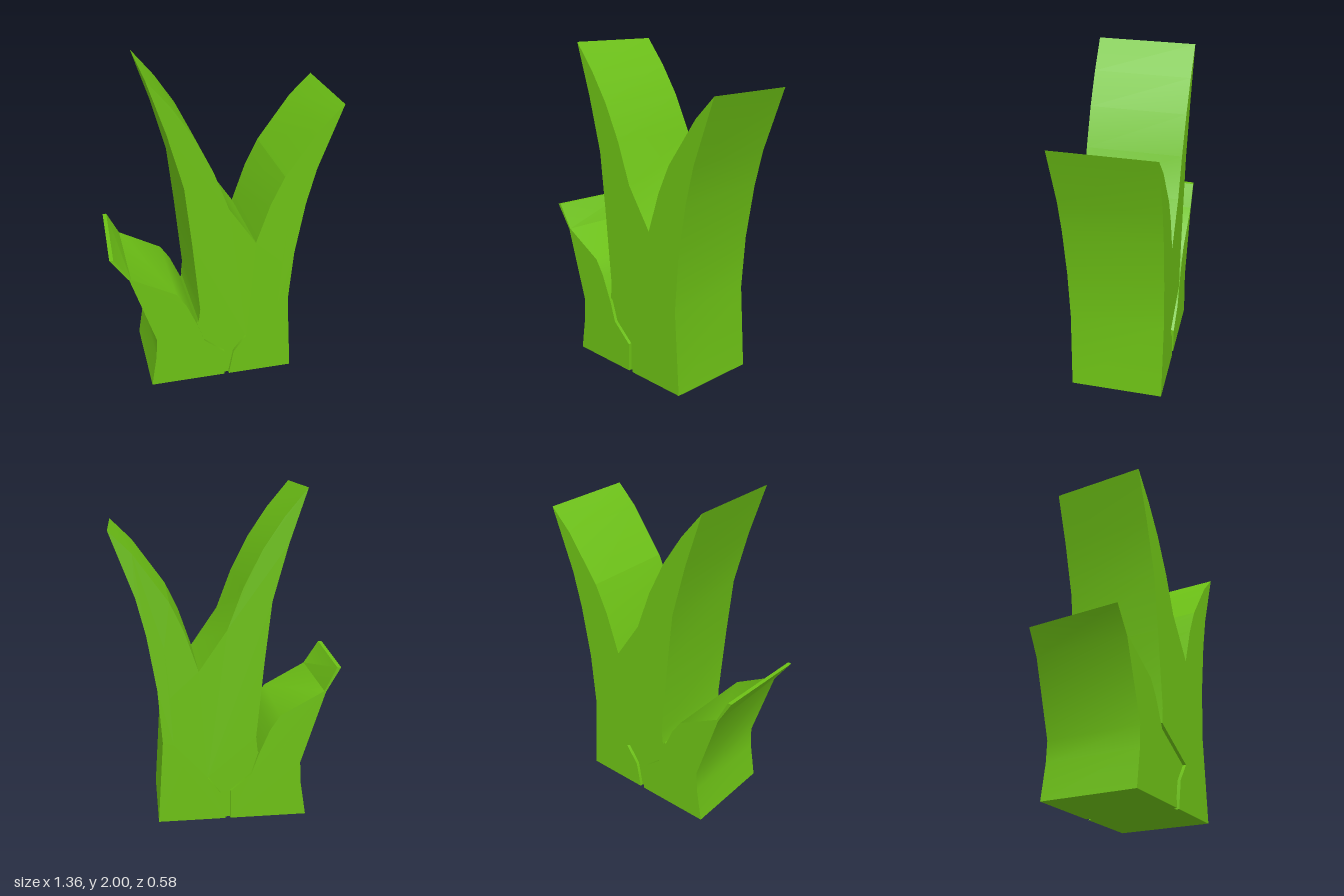
import * as THREE from 'three';
import { toCreasedNormals } from 'three/addons/utils/BufferGeometryUtils.js';

const DEPTH = 0.58;

// Extrudes an outline symmetrically about z = 0, with smooth sides and sharp rims
function slab(name, points, depth, material) {
  const shape = new THREE.Shape(points.map(([x, y]) => new THREE.Vector2(x, y)));
  const geometry = new THREE.ExtrudeGeometry(shape, { depth, bevelEnabled: false });
  geometry.translate(0, 0, -depth / 2);
  // The thin low tip leans slightly outward towards the front
  const p = geometry.attributes.position;
  for (let i = 0; i < p.count; i++) {
    if (p.getX(i) < -0.62 && p.getZ(i) < 0) p.setX(i, p.getX(i) + 0.022);
  }
  const mesh = new THREE.Mesh(toCreasedNormals(geometry, 0.6), material);
  mesh.name = name;
  return mesh;
}

export function createModel() {
  const group = new THREE.Group();
  group.name = 'grassTuft';
  const green = new THREE.MeshStandardMaterial({ color: 0x6cc015 });

  // Short blade leaning left, with a pinched tip
  const shortBlade = [
    [0, 0], [0, 0.18], [-0.13, 0.29], [-0.17, 0.41], [-0.24, 0.57], [-0.30, 0.66],
    [-0.565, 0.805], [-0.66, 0.95], [-0.683, 0.95], [-0.575, 0.80],
    [-0.43, 0.35], [-0.435, 0.22], [-0.47, 0],
  ];

  // Boundary shared by the tall blade and the right blade, bottom to top
  const seam = [[0.14, 0.28], [0.29, 0.36], [0.34, 0.5], [0.355, 0.8], [0.385, 1.1], [0.35, 1.37]];

  // Tall central blade
  const tallBlade = [
    ...seam, [0.27, 1.2], [0.187, 0.955], [0.02, 1.2], [-0.07, 1.44], [-0.18, 1.66],
    [-0.30, 1.84], [-0.433, 2], [-0.33, 1.69], [-0.24, 1.36], [-0.20, 1.0],
    [-0.155, 0.53], [-0.165, 0.44],
  ];

  // Right blade, which also forms the right half of the base
  const rightBlade = [
    [0.03, 0], [0.44, 0], [0.405, 0.52], [0.43, 0.85], [0.485, 1.18], [0.54, 1.4],
    [0.68, 1.78], [0.55, 1.65], ...[...seam].reverse(), [0.06, 0.17],
  ];

  // Slightly sunken fold where the blades meet
  const fold = [[-0.01, 0], [0.04, 0], [0.07, 0.17], [0.15, 0.29], [-0.16, 0.455], [-0.18, 0.40], [-0.14, 0.28], [-0.01, 0.17]];

  group.add(
    slab('shortBlade', shortBlade, DEPTH, green),
    slab('tallBlade', tallBlade, DEPTH, green),
    slab('rightBlade', rightBlade, DEPTH, green),
    slab('fold', fold, DEPTH - 0.04, green),
  );
  return group;
}
